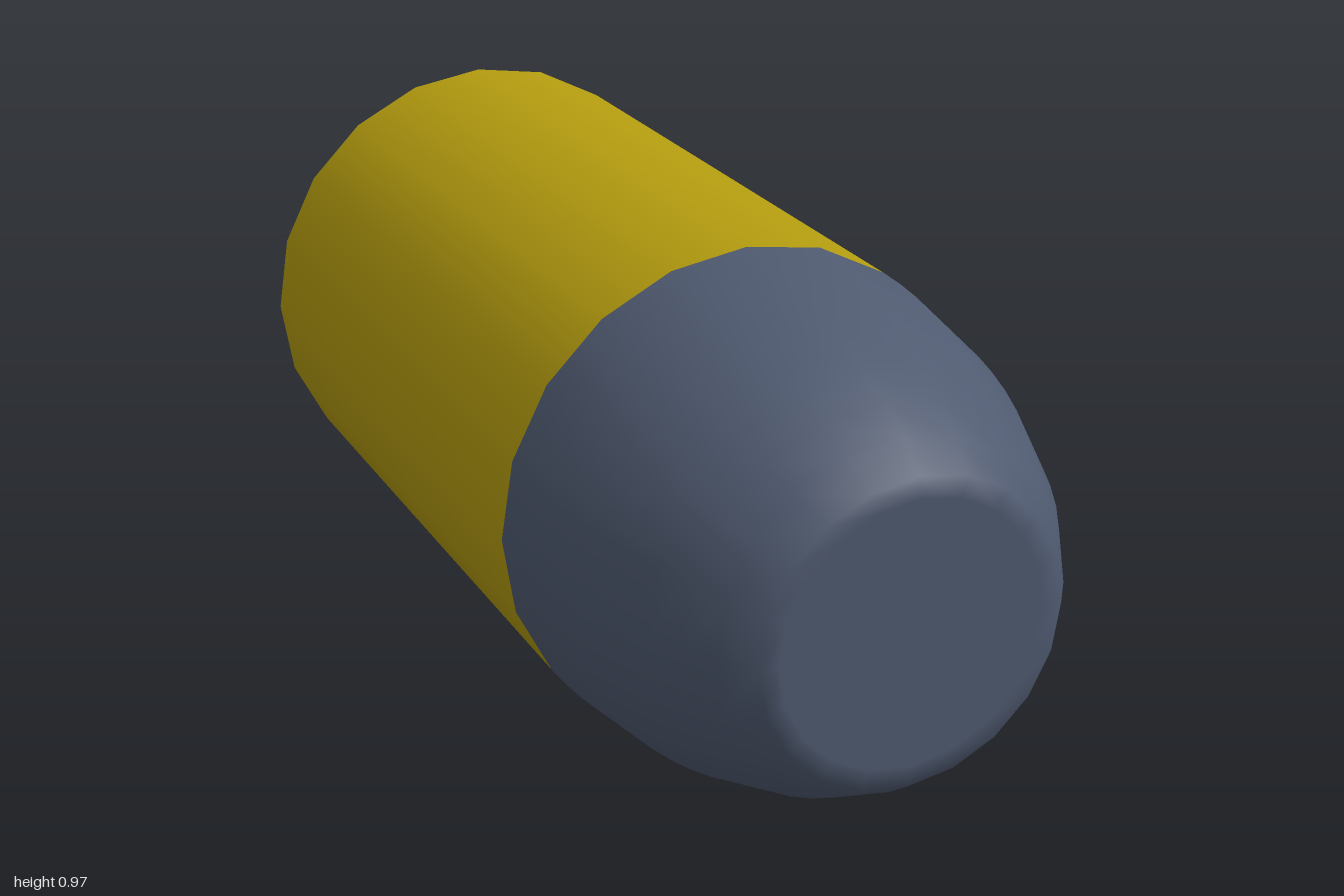
import * as THREE from 'three';

const SIDES = 20;
const R = 0.485; // body radius, also the height of the axis

// Turns a profile of [radius, z] points (rear to front) around the z axis
function turned(name, color, profile) {
  const points = profile.map(([r, z]) => new THREE.Vector2(r, z));
  const geometry = new THREE.LatheGeometry(points, SIDES);
  geometry.rotateX(Math.PI / 2);
  const mesh = new THREE.Mesh(geometry, new THREE.MeshStandardMaterial({ color }));
  mesh.name = name;
  mesh.position.y = R;
  return mesh;
}

export function createModel() {
  const model = new THREE.Group();
  model.name = 'cartridge';

  // Straight casing
  const rear = -0.95, front = 0.37;
  model.add(turned('casing', 0xb39b0f, [[R, rear], [R, front]]));

  // Base: bevelled rim and flat rear disc, with a sharp edge between them
  const base = new THREE.Group();
  base.name = 'base';
  base.add(turned('baseBevel', 0xcccccc, [[0.435, -1], [R, rear]]));
  base.add(turned('baseDisc', 0xcccccc, [[0, -1], [0.435, -1]]));
  model.add(base);

  // Nose: elliptical curve cut off by a flat tip with a softly shaded edge
  const nose = [];
  const steps = 10, reach = 0.786;
  for (let i = 0; i <= steps; i++) {
    const d = (1 - front) * (i / steps);
    nose.push([R * Math.sqrt(1 - (d / reach) ** 2), front + d]);
  }
  nose.push([0.25, 1], [0, 1]);
  model.add(turned('nose', 0x4f5a70, nose));

  return model;
}
